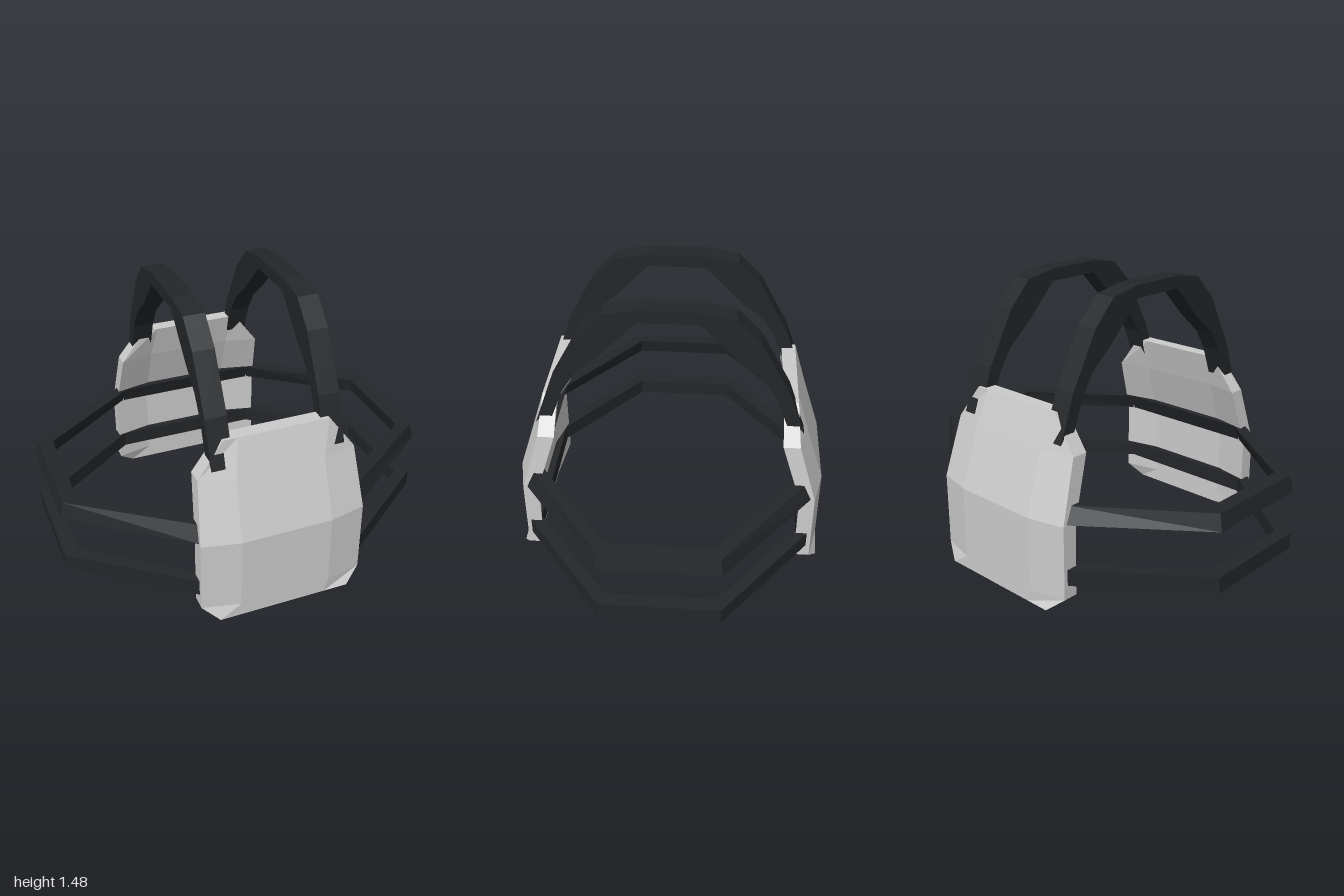
import * as THREE from 'three';

const plateMat = new THREE.MeshStandardMaterial({ color: 0xcccccc, flatShading: true });
const strapMat = new THREE.MeshStandardMaterial({ color: 0x242629, flatShading: true });

// Skin a list of equal-sized cross-sections; either a closed ring or capped at both ends.
function loft(sections, closed) {
  const n = sections[0].length, m = sections.length, index = [];
  const last = closed ? m : m - 1;
  for (let i = 0; i < last; i++) {
    for (let j = 0; j < n; j++) {
      const k = (j + 1) % n, up = ((i + 1) % m) * n;
      const a = i * n + j, b = i * n + k, c = up + k, d = up + j;
      index.push(a, b, c, a, c, d);
    }
  }
  if (!closed) {
    const top = (m - 1) * n;
    for (let j = 0; j < n / 2 - 1; j++) {
      const k = n - 1 - j;
      index.push(j, k, k - 1, j, k - 1, j + 1);
      index.push(top + j, top + j + 1, top + k - 1, top + j, top + k - 1, top + k);
    }
  }
  const geo = new THREE.BufferGeometry();
  geo.setAttribute('position', new THREE.Float32BufferAttribute(sections.flat(2), 3));
  geo.setIndex(index);
  const flat = geo.toNonIndexed();
  flat.computeVertexNormals();
  return flat;
}

// Curved armour plate: rows of [y, half width, crease x, outer z, inner z, edge setback]
function plateGeometry() {
  const rows = [
    [0, 0.35, 0.22, 0.8, 0.72, 0],
    [0.07, 0.435, 0.24, 0.8, 0.72, 0.045],
    [0.455, 0.435, 0.24, 0.8, 0.72, 0.045],
    [0.77, 0.41, 0.23, 0.7, 0.615, 0.04],
    [0.95, 0.275, 0.2, 0.642, 0.568, 0],
  ];
  return loft(rows.map(([y, h, c, zo, zi, s]) => [
    [-h, y, zo - s], [-c, y, zo], [c, y, zo], [h, y, zo - s],
    [h, y, zi - s], [c, y, zi], [-c, y, zi], [-h, y, zi - s],
  ]), false);
}

// Waist strap: an eight-cornered band, its top edge drawn in by dx and dz
function waistGeometry(y0, y1, dx, dz) {
  const quarter = [
    { o: [1, 0.3], i: [0.925, 0.275], t: 0.3 },
    { o: [0.43, 0.737], i: [0.4, 0.683], t: 1 },
  ];
  const sections = [];
  const add = (p, sx, sz) => {
    const at = ([x, z], y, k) => [sx * (x - k * dx), y, sz * (z - k * dz * p.t)];
    sections.push([at(p.o, y0, 0), at(p.o, y1, 1), at(p.i, y1, 1), at(p.i, y0, 0)]);
  };
  const [side, end] = quarter;
  add(side, 1, 1); add(end, 1, 1); add(end, -1, 1); add(side, -1, 1);
  add(side, -1, -1); add(end, -1, -1); add(end, 1, -1); add(side, 1, -1);
  return loft(sections, true);
}

// Shoulder strap: arched side profile (z, y), mirrored front to back, extruded across x
function shoulderGeometry(width) {
  const outer = [[0.675, 0.812], [0.59, 1.05], [0.44, 1.325], [0.318, 1.45], [0.155, 1.48]];
  const inner = [[0.15, 1.415], [0.33, 1.23], [0.46, 1.12], [0.53, 1.01], [0.59, 0.852], [0.645, 0.852]];
  const mirror = (pts) => pts.map(([z, y]) => [-z, y]).reverse();
  const pts = [...outer, ...mirror(outer), ...mirror(inner), ...inner];
  const shape = new THREE.Shape(pts.map(([z, y]) => new THREE.Vector2(z, y)));
  const geo = new THREE.ExtrudeGeometry(shape, { depth: width, bevelEnabled: false });
  return geo.rotateY(Math.PI / 2);
}

export function createModel() {
  const group = new THREE.Group();
  const add = (name, geo, mat) => {
    const mesh = new THREE.Mesh(geo, mat);
    mesh.name = name;
    group.add(mesh);
    return mesh;
  };

  // Plates
  add('frontPlate', plateGeometry(), plateMat);
  add('backPlate', plateGeometry(), plateMat).rotation.y = Math.PI;

  // Shoulder straps
  const width = 0.11;
  add('leftShoulderStrap', shoulderGeometry(width), strapMat).position.x = 0.235;
  add('rightShoulderStrap', shoulderGeometry(width), strapMat).position.x = -0.235 - width;

  // Waist straps
  add('upperWaistStrap', waistGeometry(0.46, 0.545, 0.02, 0.03), strapMat);
  add('lowerWaistStrap', waistGeometry(0.14, 0.225, 0, 0), strapMat);

  return group;
}
